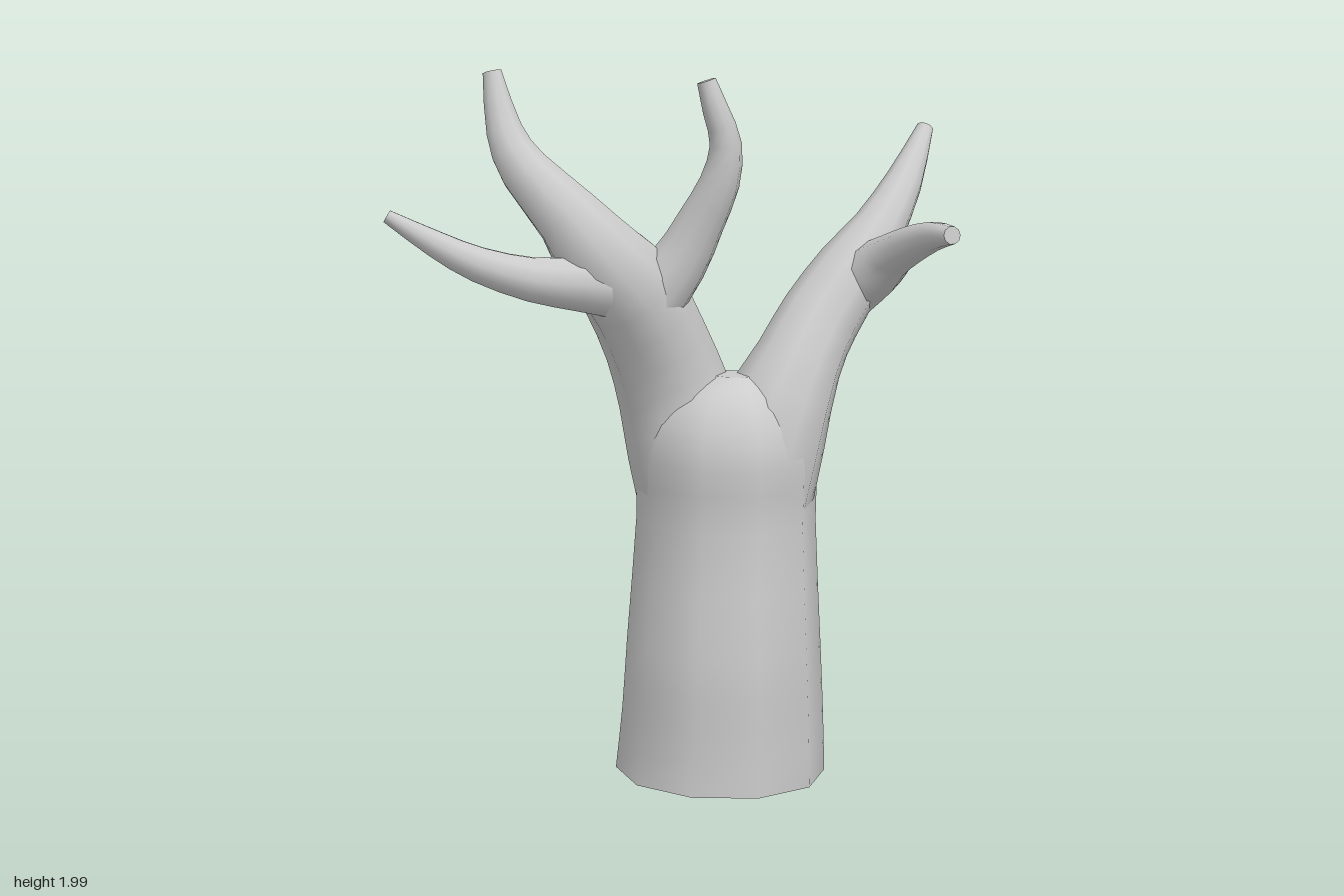
import * as THREE from 'three';

const bark = new THREE.MeshStandardMaterial({ color: 0xcccccc });
const openBark = new THREE.MeshStandardMaterial({ color: 0xcccccc, side: THREE.DoubleSide });
const SIDES = 10;

// Round loft through keys [x, y, z, radius]; the far end is closed, the near end is open.
// "normal" fixes the plane of every ring, otherwise the rings follow the path.
function loft(name, keys, material, normal) {
  const path = new THREE.CatmullRomCurve3(keys.map(k => new THREE.Vector3(k[0], k[1], k[2])), false, 'catmullrom', 0.5);
  const radii = new THREE.CatmullRomCurve3(keys.map(k => new THREE.Vector3(k[3], 0, 0)), false, 'catmullrom', 0.5);
  const rings = (keys.length - 1) * 2;
  const positions = [], index = [];
  let u = new THREE.Vector3(0, 0, 1);
  for (let i = 0; i <= rings; i++) {
    const t = i / rings;
    const centre = path.getPoint(t), r = radii.getPoint(t).x;
    const dir = normal || path.getTangent(t);
    u = u.clone().addScaledVector(dir, -u.dot(dir)).normalize();
    const v = dir.clone().cross(u);
    for (let j = 0; j < SIDES; j++) {
      const a = (j + 0.5) / SIDES * Math.PI * 2;
      const p = centre.clone().addScaledVector(u, Math.cos(a) * r).addScaledVector(v, Math.sin(a) * r);
      positions.push(p.x, p.y, p.z);
      if (i < rings) {
        const k = (j + 1) % SIDES, o = i * SIDES, n = o + SIDES;
        index.push(o + j, o + k, n + k, o + j, n + k, n + j);
      }
    }
  }
  // end cap, with its own ring so that the rim stays sharp
  const last = rings * SIDES, cap = positions.length / 3;
  for (let j = 0; j < SIDES; j++) positions.push(...positions.slice((last + j) * 3, (last + j) * 3 + 3));
  for (let j = 1; j < SIDES - 1; j++) index.push(cap, cap + j, cap + j + 1);

  const geometry = new THREE.BufferGeometry();
  geometry.setAttribute('position', new THREE.Float32BufferAttribute(positions, 3));
  geometry.setIndex(index);
  geometry.computeVertexNormals();
  const mesh = new THREE.Mesh(geometry, material);
  mesh.name = name;
  return mesh;
}

export function createModel() {
  const tree = new THREE.Group();
  tree.name = 'bareTree';

  // trunk: open below, domed under the fork
  tree.add(loft('trunk', [
    [-0.06, 0.016, -0.055, 0.295], [-0.048, 0.2, -0.05, 0.282], [-0.038, 0.4, -0.04, 0.27],
    [-0.04, 0.75, -0.055, 0.248], [-0.03, 0.92, -0.045, 0.248], [-0.03, 1.03, -0.045, 0.225],
    [-0.02, 1.11, -0.04, 0.165], [0, 1.16, -0.03, 0.07],
  ], openBark, new THREE.Vector3(0, 1, -0.05).normalize()));

  // front limb, running out into the tallest branch
  tree.add(loft('frontLimb', [
    [-0.1, 0.76, -0.03, 0.17], [-0.13, 0.95, 0, 0.168], [-0.155, 1.1, 0.03, 0.155],
    [-0.165, 1.25, 0.1, 0.142], [-0.175, 1.4, 0.2, 0.135], [-0.21, 1.5, 0.29, 0.12],
    [-0.27, 1.61, 0.35, 0.09], [-0.38, 1.73, 0.39, 0.068], [-0.44, 1.83, 0.395, 0.05],
    [-0.485, 1.98, 0.385, 0.026],
  ], bark));

  // low branch reaching forward from the front limb
  tree.add(loft('frontLowBranch', [
    [-0.17, 1.42, 0.25, 0.09], [-0.23, 1.44, 0.37, 0.075], [-0.31, 1.455, 0.46, 0.06],
    [-0.42, 1.495, 0.54, 0.048], [-0.51, 1.55, 0.605, 0.036], [-0.61, 1.622, 0.675, 0.018],
  ], bark));

  // hooked branch rising from the inner side of the front limb
  tree.add(loft('innerBranch', [
    [-0.15, 1.36, 0.18, 0.1], [-0.06, 1.48, 0.145, 0.078], [0, 1.59, 0.13, 0.064],
    [0.058, 1.7, 0.125, 0.053], [0.08, 1.8, 0.13, 0.042], [0.065, 1.89, 0.155, 0.034],
    [0.045, 1.965, 0.168, 0.025],
  ], bark));

  // back limb, tapering to its tip
  tree.add(loft('backLimb', [
    [0.03, 0.78, -0.06, 0.17], [0.075, 1, -0.095, 0.16], [0.12, 1.19, -0.175, 0.122],
    [0.14, 1.3, -0.255, 0.112], [0.18, 1.42, -0.35, 0.1], [0.215, 1.53, -0.44, 0.074],
    [0.23, 1.65, -0.55, 0.053], [0.228, 1.79, -0.67, 0.024],
  ], bark));

  // side branch of the back limb
  tree.add(loft('backSideBranch', [
    [0.18, 1.37, -0.35, 0.085], [0.27, 1.435, -0.335, 0.078], [0.33, 1.475, -0.31, 0.062],
    [0.41, 1.515, -0.27, 0.052], [0.51, 1.553, -0.21, 0.04], [0.605, 1.57, -0.14, 0.024],
  ], bark));

  return tree;
}
